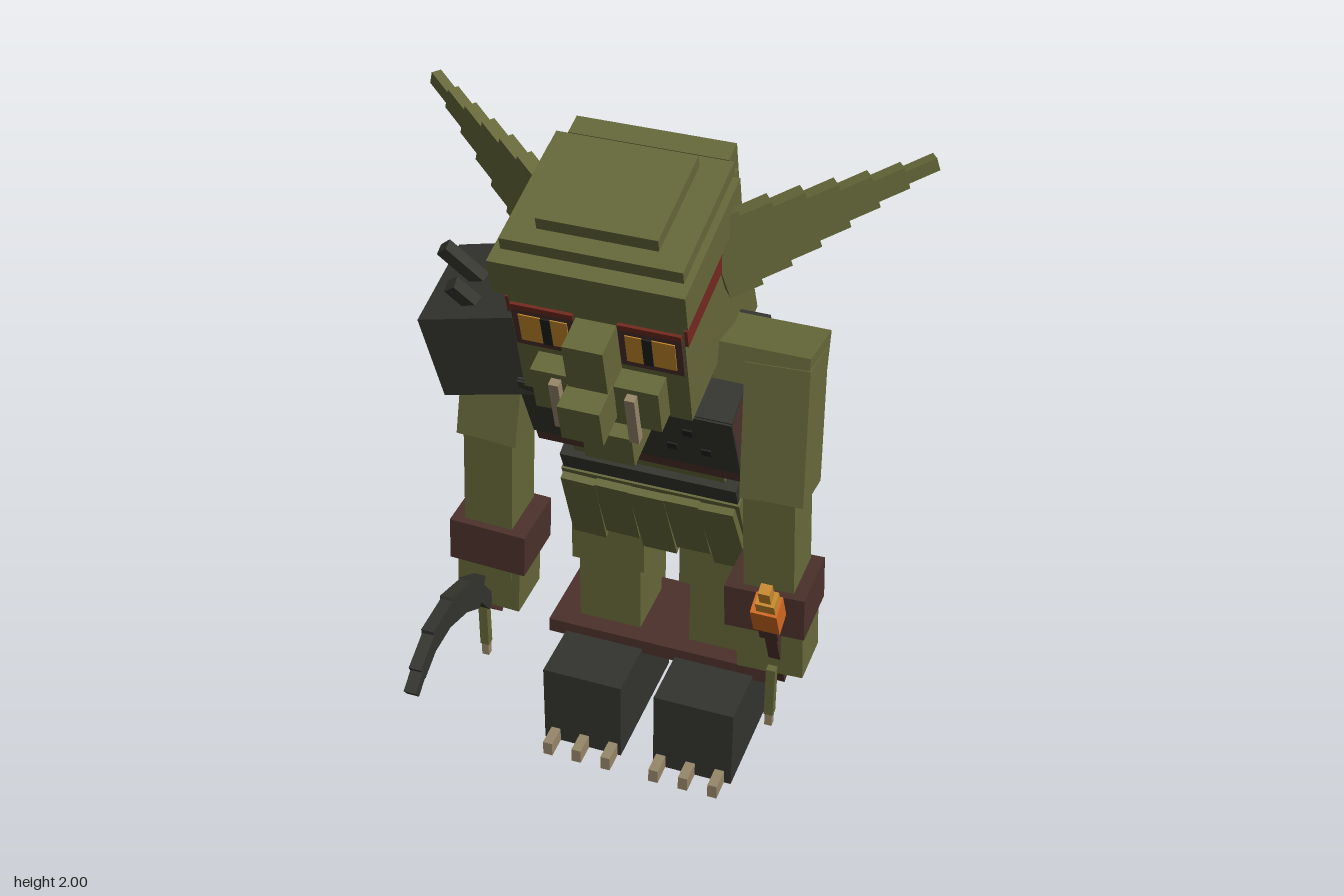
import * as THREE from 'three';

const mat = (name, color) => {
  const m = new THREE.MeshStandardMaterial({ color });
  m.name = name;
  return m;
};

export function createModel() {
  const root = new THREE.Group();
  root.name = 'goblinWarrior';
  const skin = mat('olive skin', 0x66683a), dark = mat('charcoal armour', 0x33342e);
  const brown = mat('brown leather', 0x4c312b), red = mat('red band', 0x73291f);
  const amber = mat('amber eye', 0xc98a2c), flame = mat('orange flame', 0xd2691f);
  const bone = mat('bone', 0x97876a), black = mat('black', 0x20211e);

  const group = (name, parent, p = [0, 0, 0], r = [0, 0, 0]) => {
    const g = new THREE.Group();
    g.name = name;
    g.position.set(...p);
    g.rotation.set(...r);
    parent.add(g);
    return g;
  };
  const box = (parent, name, m, size, pos, rot = [0, 0, 0]) => {
    const b = new THREE.Mesh(new THREE.BoxGeometry(...size), m);
    b.name = name;
    b.position.set(...pos);
    b.rotation.set(...rot);
    parent.add(b);
    return b;
  };
  // square bar from point a to point b
  const bar = (parent, name, m, a, b, w, d) => {
    const A = new THREE.Vector3(...a), D = new THREE.Vector3(...b).sub(A);
    const o = box(parent, name, m, [w, D.length(), d], A.clone().addScaledVector(D, 0.5).toArray());
    o.quaternion.setFromUnitVectors(new THREE.Vector3(0, 1, 0), D.normalize());
    return o;
  };

  // Legs and boots
  for (const s of [-1, 1]) {
    const leg = group(s > 0 ? 'leftLeg' : 'rightLeg', root);
    box(leg, 'boot', dark, [0.235, 0.262, 0.425], [s * 0.167, 0.139, -0.243]);
    box(leg, 'sole', skin, [0.19, 0.105, 0.42], [s * 0.167, 0.0525, -0.27]);
    for (const x of [0.073, 0.162, 0.25])
      box(leg, 'toeClaw', bone, [0.028, 0.045, 0.08], [s * x, 0.03, -0.003]);
    box(leg, 'shin', skin, [0.185, 0.28, 0.185], [s * 0.167, 0.4, -0.357]);
    box(leg, 'heelSpur', skin, [0.12, 0.15, 0.1], [s * 0.155, 0.335, -0.495]);
    box(leg, 'thigh', skin, [0.215, 0.29, 0.24], [s * 0.16, 0.685, -0.35]);
  }
  box(root, 'anklePlate', brown, [0.674, 0.045, 0.29], [0, 0.278, -0.355]);

  // Leaning torso
  const lean = 0.42;
  const torso = group('torso', root);
  box(torso, 'pelvis', skin, [0.5, 0.25, 0.28], [0, 0.88, -0.3], [lean, 0, 0]);
  box(torso, 'belt', dark, [0.49, 0.07, 0.285], [0, 1.025, -0.245], [lean, 0, 0]);
  box(torso, 'abdomen', skin, [0.42, 0.11, 0.25], [0, 1.1, -0.215], [lean, 0, 0]);
  const chest = group('chest', torso, [0, 1.275, -0.135], [lean, 0, 0]);
  box(chest, 'vest', brown, [0.56, 0.285, 0.32], [0, 0, 0]);
  box(chest, 'breastplate', dark, [0.562, 0.235, 0.009], [0, 0.028, 0.163]);
  box(chest, 'backplate', dark, [0.562, 0.288, 0.009], [0, 0, -0.163]);
  box(chest, 'shoulderCover', dark, [0.562, 0.009, 0.325], [0, 0.145, 0]);
  for (let r = 0; r < 2; r++)
    for (let i = 0; i < 5; i++)
      box(chest, 'stud', black, [0.026, 0.026, 0.008], [-0.2 + i * 0.09 + r * 0.04, r ? -0.01 : 0.07, 0.168]);
  box(torso, 'backHump', skin, [0.4, 0.22, 0.19], [0, 1.45, -0.255], [lean, 0, 0]);
  box(torso, 'collar', dark, [0.36, 0.06, 0.16], [0, 1.55, -0.14], [lean, 0, 0]);
  box(torso, 'neck', skin, [0.24, 0.2, 0.2], [0, 1.46, -0.05], [lean, 0, 0]);

  // Ragged skirt panels
  const skirt = group('skirt', root);
  [-0.2, -0.1, 0, 0.1, 0.2].forEach((x, i) =>
    box(skirt, 'frontPanel', skin, [0.098, i % 2 ? 0.26 : 0.3, 0.022],
      [x, i % 2 ? 0.81 : 0.79, i % 2 ? -0.158 : -0.166], [lean, 0, (i - 2) * 0.025]));
  [[-0.165, 0.115], [-0.035, 0.105], [0.095, 0.108], [0.19, 0.08]].forEach(([x, w]) => {
    const p = group('backPanel', skirt, [x, 0.925, -0.48], [lean, 0, 0]);
    box(p, 'cloth', skin, [w - 0.014, 0.262, 0.016], [0, 0, -0.006]);
    box(p, 'lining', brown, [w, 0.265, 0.012], [0, 0, 0.006]);
  });

  // Arms
  for (const s of [-1, 1]) {
    const arm = group(s > 0 ? 'leftArm' : 'rightArm', root);
    box(arm, 'shoulder', skin, [0.24, 0.1, 0.19], [s * 0.325, 1.45, -0.1], [-0.17, 0, 0]);
    box(arm, 'upperArm', skin, [0.165, 0.37, 0.165], [s * 0.375, 1.285, -0.055], [-0.17, 0, s * 0.05]);
    box(arm, 'forearm', skin, [0.135, 0.46, 0.155], [s * 0.388, 0.89, -0.02], [0, 0, s * 0.04]);
    box(arm, 'cuff', brown, [0.215, 0.13, 0.19], [s * 0.387, 0.775, -0.015], [0, 0, s * 0.04]);
    box(arm, 'hand', skin, [0.18, 0.14, 0.15], [s * 0.4, 0.625, -0.02], [0, 0, s * 0.05]);
    box(arm, 'finger', skin, [0.025, 0.16, 0.025], [s * 0.412, 0.5, 0.065]);
    box(arm, 'fingerClaw', bone, [0.02, 0.04, 0.02], [s * 0.412, 0.4, 0.065]);
  }

  // Spiked pauldron on the right shoulder
  const pauldron = group('pauldron', root, [-0.355, 1.415, -0.08], [0.1, 0.08, 0.2]);
  box(pauldron, 'plate', dark, [0.34, 0.24, 0.32], [0, 0, 0]);
  box(pauldron, 'trim', brown, [0.008, 0.09, 0.3], [-0.172, -0.07, 0]);
  bar(root, 'longSpike', dark, [-0.38, 1.45, -0.1], [-0.52, 1.61, -0.045], 0.035, 0.035);
  bar(root, 'shortSpike', dark, [-0.38, 1.46, 0], [-0.46, 1.57, 0.05], 0.035, 0.035);

  // Head, tipped forward
  const head = group('head', root, [0, 1.67, 0.03], [0.25, 0, 0]);
  box(head, 'skull', skin, [0.43, 0.43, 0.42], [0, 0, 0]);
  box(head, 'brow', skin, [0.475, 0.1, 0.4], [0, 0.185, 0.04]);
  box(head, 'crown', skin, [0.44, 0.045, 0.37], [0, 0.245, 0.01]);
  box(head, 'crownTop', skin, [0.294, 0.04, 0.285], [0, 0.28, 0.002]);
  box(head, 'headBack', skin, [0.4, 0.26, 0.06], [0, 0.12, -0.225]);
  box(head, 'noseBridge', skin, [0.1, 0.2, 0.1], [0, -0.03, 0.255]);
  box(head, 'noseTip', skin, [0.105, 0.11, 0.095], [0, -0.119, 0.324]);
  box(head, 'muzzle', skin, [0.32, 0.13, 0.09], [0, -0.14, 0.225]);
  box(head, 'mouth', brown, [0.21, 0.06, 0.12], [0, -0.245, 0.15]);
  box(head, 'jaw', skin, [0.24, 0.1, 0.22], [0, -0.26, 0.06]);
  box(head, 'chin', skin, [0.13, 0.1, 0.13], [0, -0.347, 0.177]);
  for (const s of [-1, 1]) {
    box(head, 'headband', red, [0.008, 0.05, 0.42], [s * 0.219, 0.07, 0]);
    box(head, 'eyeFrame', brown, [0.155, 0.13, 0.008], [s * 0.132, 0.015, 0.214]);
    box(head, 'eyelid', red, [0.155, 0.015, 0.009], [s * 0.132, 0.075, 0.215]);
    box(head, 'eye', amber, [0.122, 0.085, 0.008], [s * 0.132, 0.01, 0.217]);
    box(head, 'pupil', black, [0.024, 0.085, 0.008], [s * 0.125, 0.01, 0.219]);
    box(head, 'tusk', bone, [0.025, 0.15, 0.025], [s * 0.095, -0.165, 0.28]);

    // Stepped ears sweeping out and back
    const ear = group(s > 0 ? 'leftEar' : 'rightEar', root, [s * 0.21, 1.745, -0.01]);
    ear.rotation.set(0, s * 0.61, s * 0.32, 'YZX');
    [0.22, 0.19, 0.16, 0.125, 0.09, 0.06, 0.035].forEach((h, i) =>
      box(ear, 'earStep', skin, [0.085, h, 0.045 - i * 0.003], [s * (0.035 + i * 0.08), 0.01, 0]));
  }

  // Curved sickle in the right hand
  const sickle = group('sickle', root);
  const path = [[-0.02, 0.49], [0.06, 0.57], [0.12, 0.65], [0.2, 0.7], [0.31, 0.735], [0.42, 0.73], [0.5, 0.69], [0.545, 0.658]];
  const widths = [0.035, 0.045, 0.09, 0.085, 0.07, 0.05, 0.028];
  widths.forEach((w, i) => {
    const [z0, y0] = path[i], [z1, y1] = path[i + 1];
    box(sickle, i ? 'blade' : 'handle', i ? dark : brown, [0.034, Math.hypot(z1 - z0, y1 - y0) + 0.015, w],
      [-0.412 + i * 0.002, (y0 + y1) / 2, (z0 + z1) / 2], [Math.atan2(z1 - z0, y1 - y0), 0, 0]);
  });

  // Burning torch in the left hand
  const torch = group('torch', root, [0.415, 0.48, -0.02], [0.43, 0, 0]);
  box(torch, 'handle', brown, [0.032, 0.3, 0.032], [0, 0.15, 0]);
  box(torch, 'torchHead', brown, [0.05, 0.05, 0.05], [0, 0.31, 0]);
  box(torch, 'flameBase', flame, [0.07, 0.1, 0.06], [0, 0.39, 0]);
  box(torch, 'flameCore', amber, [0.05, 0.05, 0.045], [0.005, 0.455, 0]);
  box(torch, 'flameTip', amber, [0.03, 0.06, 0.03], [0.005, 0.5, 0]);
  return root;
}
